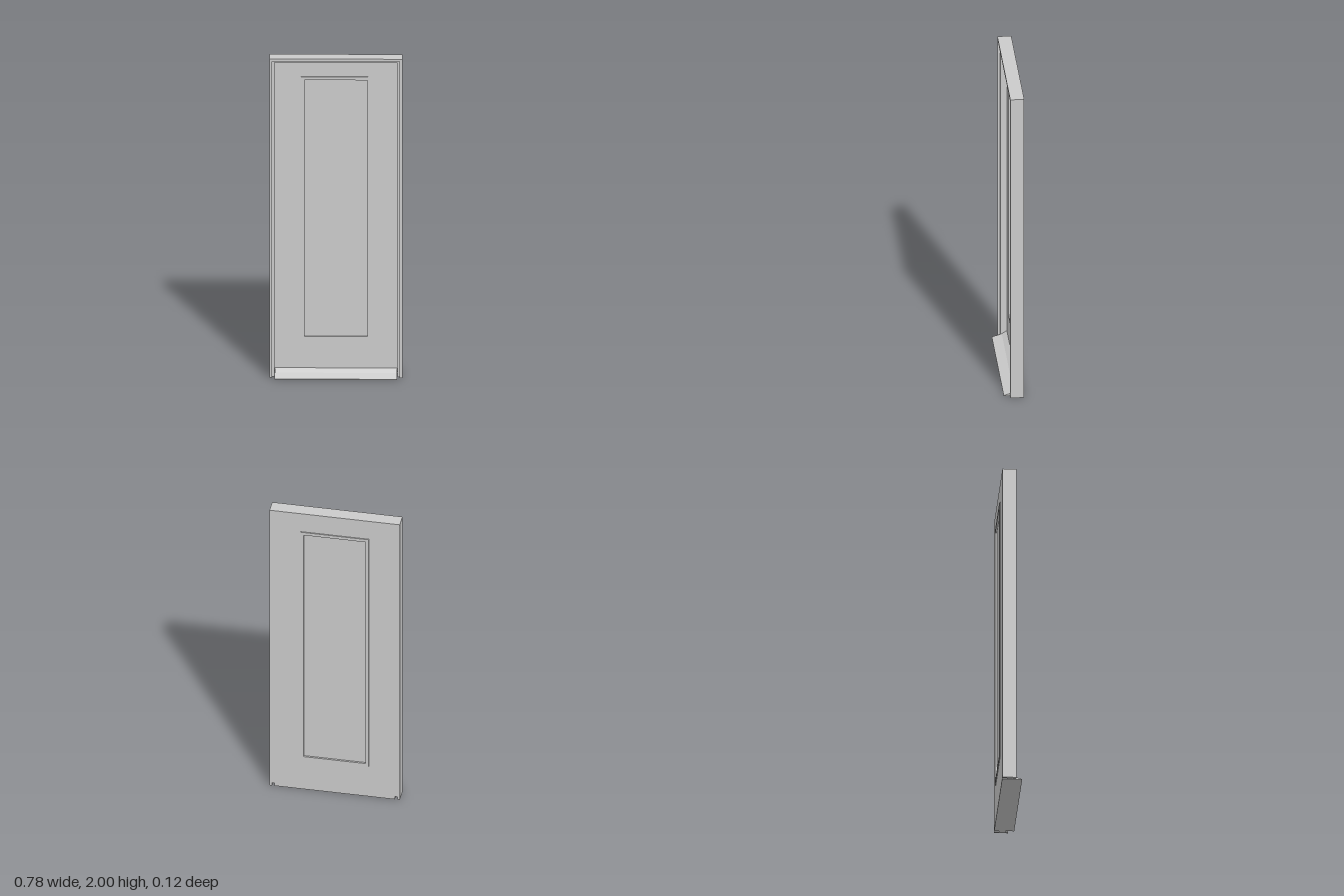
import * as THREE from 'three';

const material = new THREE.MeshStandardMaterial({ color: 0xcccccc, flatShading: true });

function add(group, name, geometry) {
  const mesh = new THREE.Mesh(geometry, material);
  mesh.name = name;
  group.add(mesh);
  return mesh;
}

function polygon(points) {
  return new THREE.Shape(points.map(([x, y]) => new THREE.Vector2(x, y)));
}

function rectangle(halfWidth, bottom, top) {
  return [[-halfWidth, bottom], [halfWidth, bottom], [halfWidth, top], [-halfWidth, top]];
}

// Extrudes a shape in x and y between two depths
function slabBetween(shape, zBack, zFront) {
  const geometry = new THREE.ExtrudeGeometry(shape, { depth: zFront - zBack, bevelEnabled: false });
  return geometry.translate(0, 0, zBack);
}

// Upside-down U: two jambs joined by a head, open at the floor
function arch(outer, outerTop, inner, innerTop) {
  return polygon([
    [-outer, 0], [-inner, 0], [-inner, innerTop], [inner, innerTop],
    [inner, 0], [outer, 0], [outer, outerTop], [-outer, outerTop],
  ]);
}

function ring(outer, inner) {
  const shape = polygon(rectangle(...outer));
  shape.holes.push(polygon(rectangle(...inner)));
  return shape;
}

export function createModel() {
  const door = new THREE.Group();
  door.name = 'door';

  const back = -0.057, front = 0.025, slabFront = -0.028;

  // Frame and the stepped stop that the leaf closes against
  add(door, 'frame', slabBetween(arch(0.39, 2, 0.375, 1.985), back, front));
  add(door, 'doorStop', slabBetween(arch(0.375, 1.985, 0.362, 1.972), slabFront, 0.01));

  // Leaf with an opening for the inset panel
  const opening = [0.185, 0.24, 1.85];
  add(door, 'leaf', slabBetween(ring([0.375, 0.02, 1.985], opening), back, slabFront));
  add(door, 'insetPanel', slabBetween(polygon(rectangle(...opening)), back + 0.005, slabFront - 0.005));

  // Raised moulding around the panel, on both faces
  const moulding = ring([0.205, 0.22, 1.87], opening);
  add(door, 'frontMoulding', slabBetween(moulding, slabFront, slabFront + 0.006));
  add(door, 'backMoulding', slabBetween(moulding, back - 0.006, back));

  // Sloping sill: profile of depth and height, extruded across the opening
  const sillProfile = polygon([
    [back, 0], [0.061, 0], [0.061, 0.004], [0.002, 0.022], [back, 0.022],
  ]);
  const sweepProfile = polygon([[slabFront, 0.022], [0.002, 0.022], [slabFront, 0.042]]);
  for (const [name, profile] of [['sill', sillProfile], ['weatherSweep', sweepProfile]]) {
    const geometry = new THREE.ExtrudeGeometry(profile, { depth: 0.72, bevelEnabled: false });
    geometry.rotateY(-Math.PI / 2).translate(0.36, 0, 0);
    add(door, name, geometry);
  }

  return door;
}
